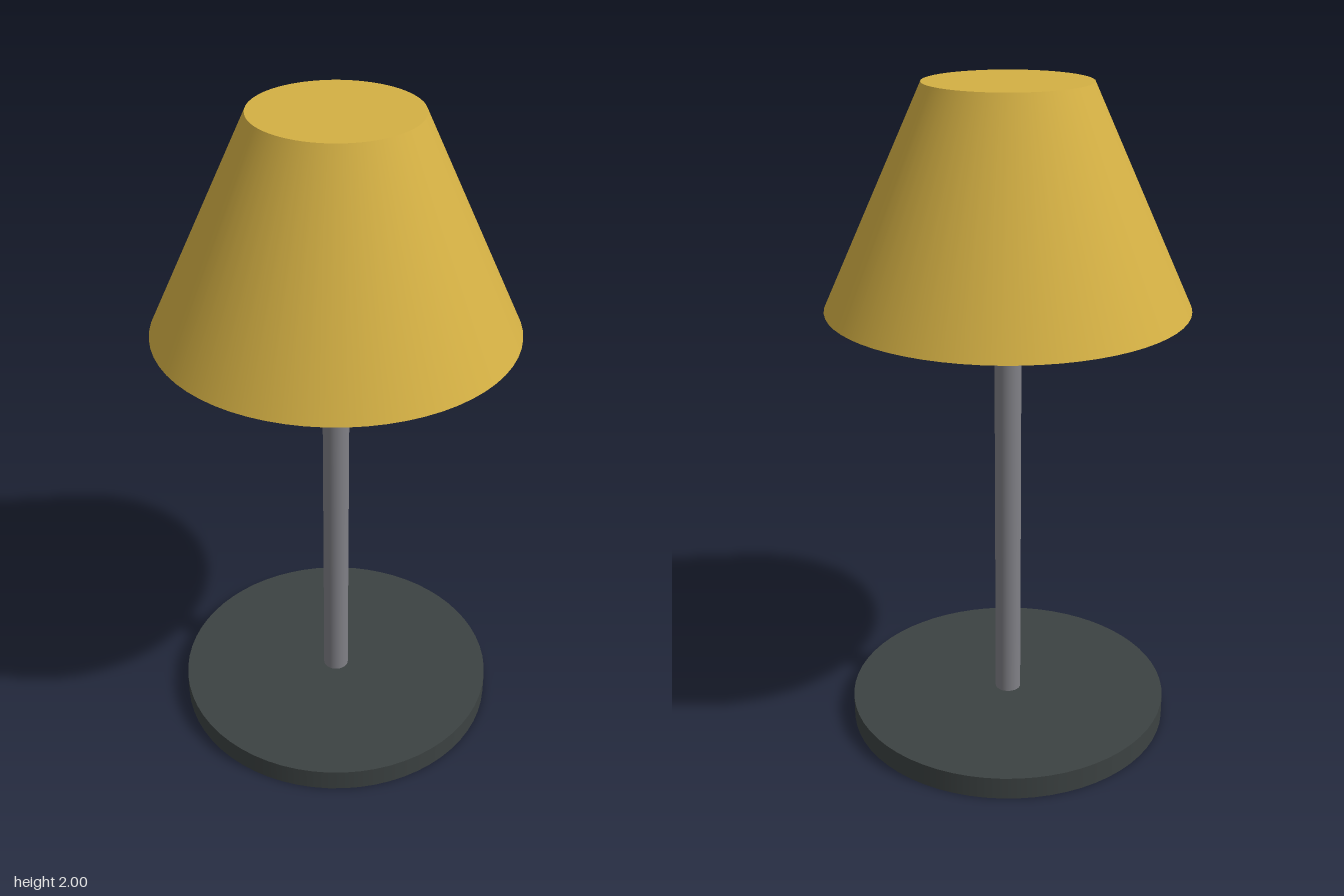
import * as THREE from 'three';

const flatColour = (name, color) => {
  const m = new THREE.MeshStandardMaterial({ color });
  m.name = name;
  return m;
};

export function createModel() {
  const lamp = new THREE.Group();
  lamp.name = 'tableLamp';

  const charcoal = flatColour('charcoal', 0x3c4242);
  const grey = flatColour('metalGrey', 0x808086);
  const gold = flatColour('gold', 0xd4b044);
  const cream = flatColour('cream', 0xe6dcb4);

  const add = (name, geometry, material, y) => {
    const mesh = new THREE.Mesh(geometry, material);
    mesh.name = name;
    mesh.position.y = y;
    lamp.add(mesh);
  };

  // Closed drum from y0 to y1
  const drum = (name, rTop, rBottom, y0, y1, material) =>
    add(name, new THREE.CylinderGeometry(rTop, rBottom, y1 - y0, 64), material, (y0 + y1) / 2);

  drum('base', 0.5, 0.5, 0, 0.07, charcoal);
  drum('pole', 0.04, 0.04, 0.07, 1.4, grey);
  drum('shade', 0.24, 0.533, 1.36, 2, gold);

  // Bulb peeking out below the shade
  add('bulb', new THREE.SphereGeometry(0.133, 32, 24), cream, 1.442);

  return lamp;
}
